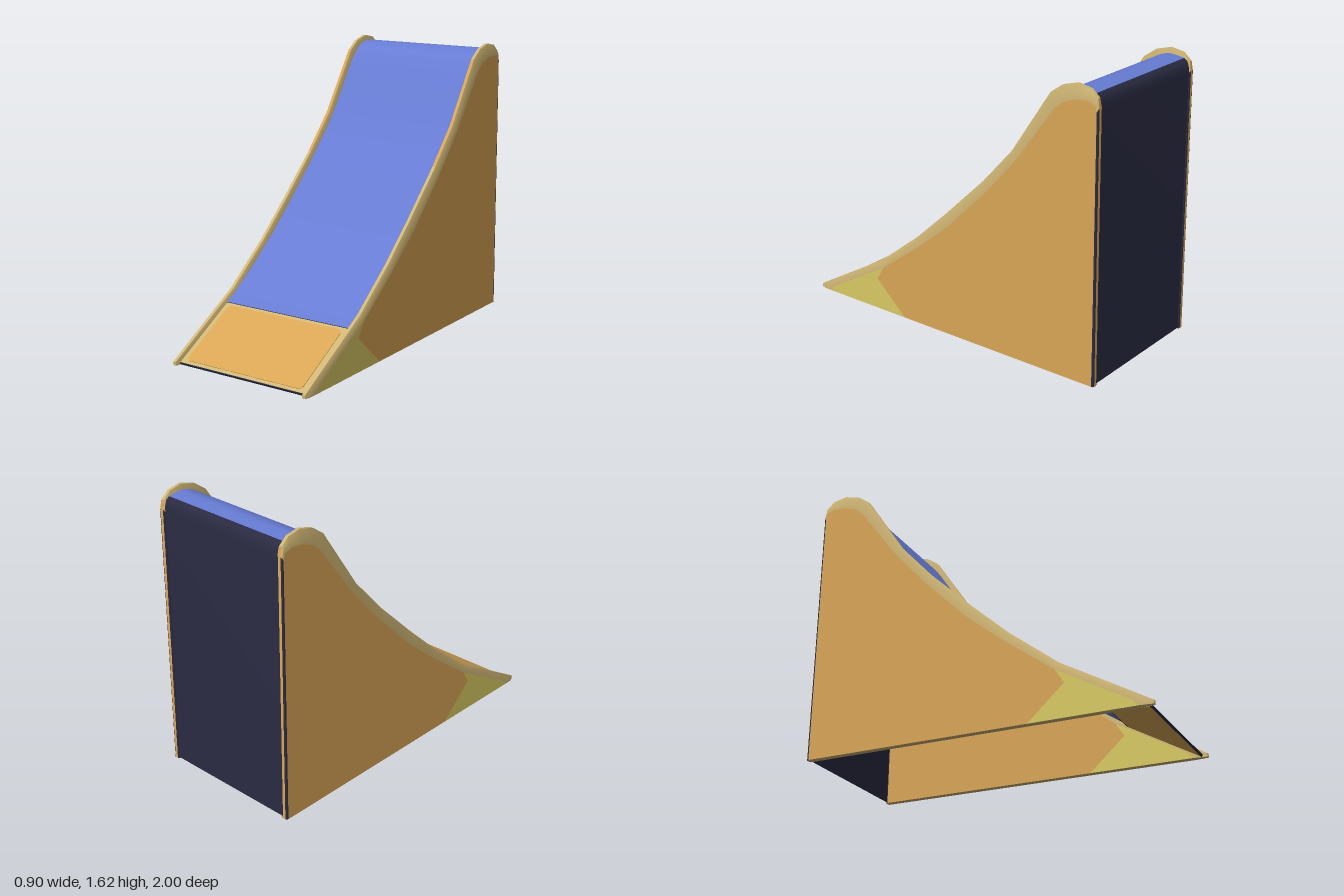
import * as THREE from 'three';
import { toCreasedNormals } from 'three/addons/utils/BufferGeometryUtils.js';

const mat = (name, color) => new THREE.MeshStandardMaterial({ name, color, side: THREE.DoubleSide });

// Side panel profile: outer edge z, y and the matching inset face edge z, y
const PROFILE = [
  [1, 0, 0.92, 0], [1, 0.02, 0.89, 0.035], [0.5, 0.31, 0.48, 0.27], [0.22, 0.53, 0.2, 0.48],
  [0, 0.73, -0.03, 0.67], [-0.26, 0.98, -0.29, 0.93], [-0.45, 1.19, -0.485, 1.15],
  [-0.69, 1.55, -0.72, 1.47], [-0.76, 1.6, -0.77, 1.515], [-0.85, 1.625, -0.85, 1.545],
  [-0.93, 1.61, -0.92, 1.55], [-0.975, 1.57, -0.965, 1.535], [-0.985, 1.52, -0.975, 1.5],
  [-1, 0, -0.987, 0],
];
const LAST = PROFILE.length - 1;

// Profile rows from..to, inset by t, at depth x
const ring = (t, x, from, to) => PROFILE.slice(from, to + 1).map(([z, y, iz, iy]) =>
  [x, y + (iy - y) * t, z + (iz - z) * t]);

// Skin a surface through equally long rows of points
function skin(rows, crease = 0.7) {
  const n = rows[0].length, index = [];
  for (let r = 0; r < rows.length - 1; r++) {
    for (let i = 0; i < n - 1; i++) {
      const a = r * n + i, b = a + n;
      index.push(a, a + 1, b, b, a + 1, b + 1);
    }
  }
  const g = new THREE.BufferGeometry();
  g.setAttribute('position', new THREE.Float32BufferAttribute(rows.flat(2), 3));
  g.setIndex(index);
  return toCreasedNormals(g, crease);
}

// Flat panel face from [z, y] corners at depth x
function face(points, x) {
  const g = new THREE.ShapeGeometry(new THREE.Shape(points.map(([z, y]) => new THREE.Vector2(z, y))));
  return g.rotateY(-Math.PI / 2).translate(x, 0, 0);
}

function add(parent, name, geometry, material) {
  const m = new THREE.Mesh(geometry, material);
  m.name = name;
  parent.add(m);
  return m;
}

function roundedRect(w, h, r) {
  const s = new THREE.Shape(), x = w / 2, y = h / 2;
  s.absarc(x - r, y - r, r, 0, Math.PI / 2);
  s.absarc(-x + r, y - r, r, Math.PI / 2, Math.PI);
  s.absarc(-x + r, -y + r, r, Math.PI, Math.PI * 1.5);
  s.absarc(x - r, -y + r, r, Math.PI * 1.5, Math.PI * 2);
  return s;
}

export function createModel() {
  const orange = mat('warm orange', 0xd9a556);
  const tan = mat('pale tan', 0xcfb574);
  const yellow = mat('soft yellow', 0xd8ca64);
  const blue = mat('slide blue', 0x667bd2);
  const navy = mat('dark navy', 0x2a2b42);
  const model = new THREE.Group();
  model.name = 'slide';

  // Side panels with bevelled rims
  const E = 0.009, F = 0.019;
  const inner = PROFILE.map(p => [p[2], p[3]]);
  const seam = [[0.32, 0], [0.53, 0.19]];
  for (const side of [1, -1]) {
    const panel = new THREE.Group();
    panel.name = side > 0 ? 'leftPanel' : 'rightPanel';
    panel.position.x = side * 0.431;
    model.add(panel);
    for (const s of [1, -1]) {
      add(panel, 'panelFace', face([...inner.slice(2), ...seam], s * F), orange);
      add(panel, 'frontCorner', face([...inner.slice(0, 3), seam[1], seam[0]], s * F), yellow);
      const bevel = (from, to) => skin([
        ring(0, s * E, from, to), ring(0.35, s * 0.017, from, to), ring(1, s * F, from, to)]);
      add(panel, 'rimBevel', bevel(0, LAST - 1), tan);
      add(panel, 'backBevel', bevel(LAST - 1, LAST), navy);
    }
    const edge = (from, to) => skin([ring(0, -E, from, to), ring(0, E, from, to)]);
    add(panel, 'lowerRim', edge(0, 5), tan);
    add(panel, 'upperRim', edge(5, 7), orange);
    add(panel, 'crestRim', edge(7, 11), tan);
    add(panel, 'backRim', edge(11, LAST), orange);
    add(panel, 'panelFoot', skin([
      [[-E, 0, 1], [-F, 0, 0.92], [-F, 0, -0.987], [-E, 0, -1]],
      [[E, 0, 1], [F, 0, 0.92], [F, 0, -0.987], [E, 0, -1]]]), tan);
  }

  // Sliding surface, curving over the crest
  const W = 0.414;
  const across = pts => skin([-W, W].map(x => pts.map(p => [x, p.y, p.z])), 1);
  const path = [[0.565, 0.25], [0.48, 0.3], [0.2, 0.51], [-0.02, 0.705], [-0.28, 0.96], [-0.47, 1.17],
    [-0.69, 1.49], [-0.76, 1.56], [-0.85, 1.595], [-0.945, 1.585]];
  const curve = new THREE.CatmullRomCurve3(path.map(([z, y]) => new THREE.Vector3(0, y, z)), false, 'centripetal');
  add(model, 'slideSurface', across(curve.getPoints(60)), blue);

  // Back wall with a rounded top lip
  const wall = [[-0.945, 1.585], [-0.965, 1.57], [-0.975, 1.54], [-0.978, 1.5], [-0.992, 0.005]];
  add(model, 'backWall', across(wall.map(([z, y]) => new THREE.Vector3(0, y, z))), navy);

  // Sloping front plate with a rounded inset
  const plate = new THREE.Group();
  plate.name = 'frontPlate';
  plate.position.set(0, 0.131, 0.768);
  plate.rotation.x = -1.05;
  model.add(plate);
  const box = (w, h, d, y, z) => new THREE.BoxGeometry(w, h, d).translate(0, y, z);
  add(plate, 'plateBorder', box(2 * W, 0.468, 0.008, 0, -0.004), tan);
  add(plate, 'plateBase', box(2 * W, 0.468, 0.006, 0, -0.011), orange);
  add(plate, 'plateInset', new THREE.ExtrudeGeometry(roundedRect(0.77, 0.428, 0.03),
    { depth: 0.003, bevelEnabled: false, curveSegments: 6 }), orange);
  add(plate, 'plateTopGap', box(2 * W, 0.014, 0.014, 0.24, -0.006), navy);
  add(plate, 'plateFrontLip', box(2 * W, 0.006, 0.013, -0.236, -0.007), navy);
  return model;
}
